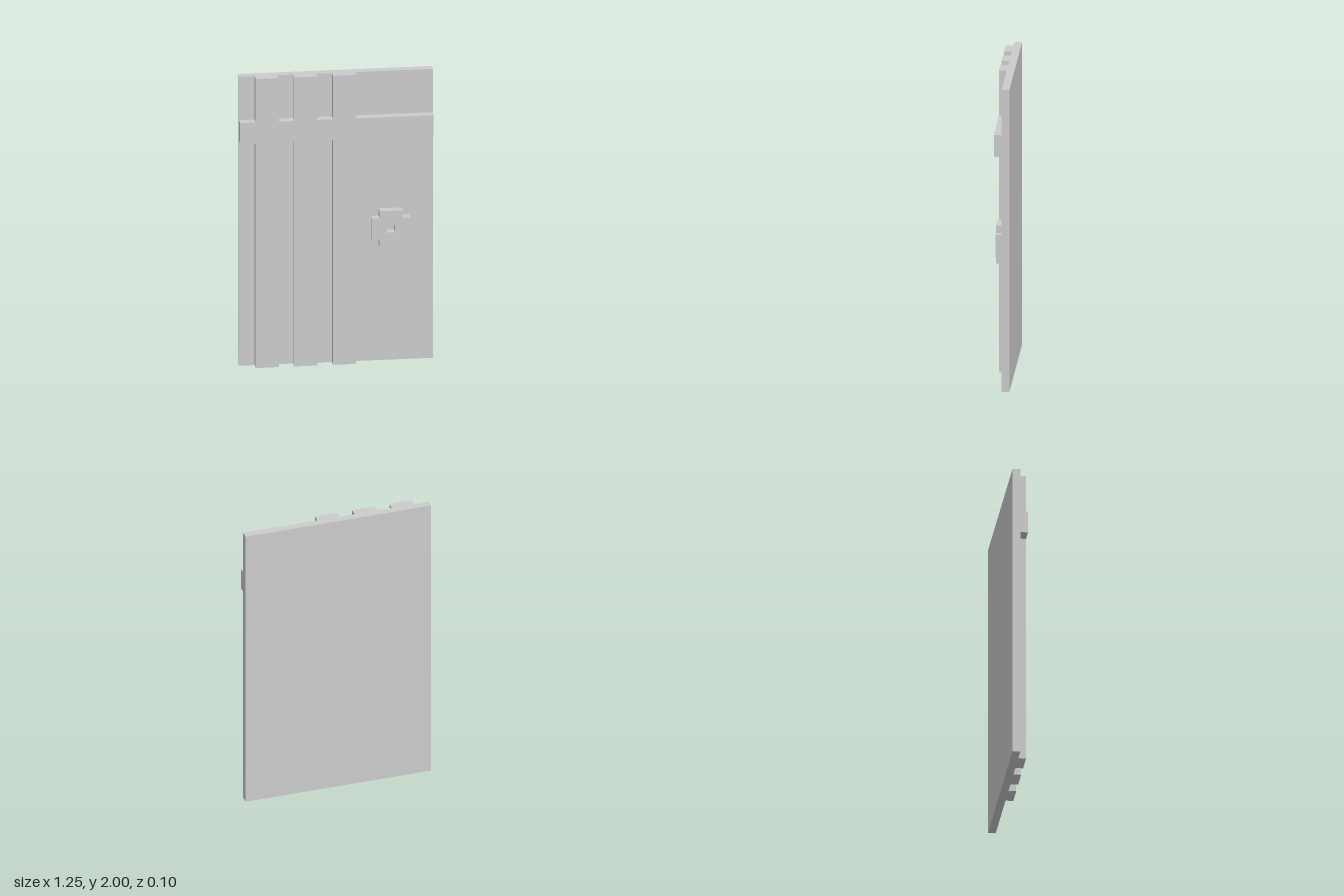
import * as THREE from 'three';

const W = 0.625, H = 2, DEPTH = 0.05;
const material = new THREE.MeshStandardMaterial({ color: 0xcccccc, flatShading: true });

// Raised relief: a flat outline extruded forward from the panel face at z = 0
function relief(name, points, hole) {
  const shape = new THREE.Shape(points.map(([x, y]) => new THREE.Vector2(x, y)));
  if (hole) shape.holes.push(new THREE.Path(hole.map(([x, y]) => new THREE.Vector2(x, y))));
  const geometry = new THREE.ExtrudeGeometry(shape, { depth: DEPTH, bevelEnabled: false });
  const mesh = new THREE.Mesh(geometry, material);
  mesh.name = name;
  return mesh;
}

export function createModel() {
  const door = new THREE.Group();
  door.name = 'door';

  // Backing panel
  const panel = new THREE.Mesh(new THREE.BoxGeometry(2 * W, H, DEPTH), material);
  panel.name = 'panel';
  panel.position.set(0, H / 2, -DEPTH / 2);
  door.add(panel);

  // Three vertical slats joined by a crossbar, as one outline
  const barBottom = 1.555, barTop = 1.7, slatWidth = 0.15;
  const slats = [-0.525, -0.275, -0.025];
  const lower = [[-W, barBottom]], upper = [[-W, barTop]];
  for (const x of slats) {
    const r = x + slatWidth;
    lower.push([x, barBottom], [x, 0], [r, 0], [r, barBottom]);
    upper.push([x, barTop], [x, H], [r, H], [r, barTop]);
  }
  lower.push([W, barBottom]);
  upper.push([W, barTop]);
  door.add(relief('slatsAndCrossbar', [...lower, ...upper.reverse()]));

  // Notched handle plate with a square keyhole
  const a = 0.125, b = 0.075, k = 0.025;
  const plate = relief('handlePlate', [
    [-b, -a], [b, -a], [b, -b], [a, -b], [a, b], [b, b],
    [b, a], [-b, a], [-b, b], [-a, b], [-a, -b], [-b, -b],
  ], [[-k, -k], [-k, k], [k, k], [k, -k]]);
  plate.position.set(0.35, 0.925, 0);
  door.add(plate);

  return door;
}
